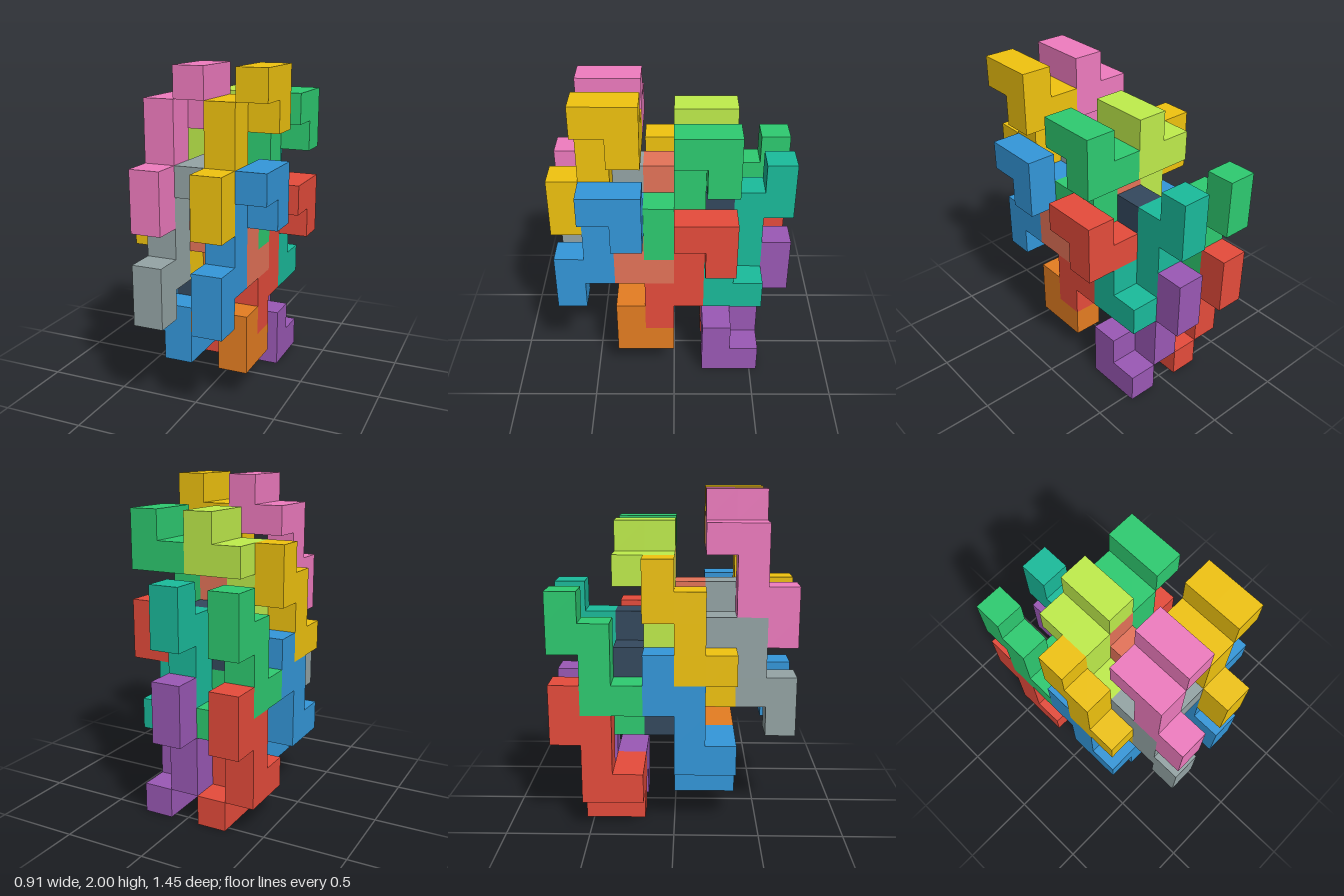
import * as THREE from 'three';
import { mergeGeometries } from 'three/addons/utils/BufferGeometryUtils.js';

const U = 2 / 11; // edge of one cube

// One puzzle piece: a chain of nine cubes, written as steps from cube to cube
const STEPS = [[0, 0, -1], [0, -1, 0], [-1, 0, 0], [0, 0, 1], [0, -1, 0], [0, -1, 0], [0, 0, 1], [0, -1, 0]];

// Outer skin of the chain: a square on every cube side without a neighbour
function pieceGeometry() {
  const cells = [[0, 0, 0]];
  for (const s of STEPS) cells.push(cells[cells.length - 1].map((v, a) => v + s[a]));
  const filled = new Set(cells.map(c => c.join()));
  const sides = [[1, 0, 0], [-1, 0, 0], [0, 1, 0], [0, -1, 0], [0, 0, 1], [0, 0, -1]];
  const front = new THREE.Vector3(0, 0, 1);
  const squares = [];
  for (const cell of cells) {
    for (const side of sides) {
      if (filled.has(cell.map((v, a) => v + side[a]).join())) continue;
      const turn = new THREE.Quaternion().setFromUnitVectors(front, new THREE.Vector3(...side));
      const centre = cell.map((v, a) => (v + side[a] / 2) * U);
      squares.push(new THREE.PlaneGeometry(U, U).applyQuaternion(turn).translate(...centre));
    }
  }
  return mergeGeometries(squares);
}

export function createModel() {
  const group = new THREE.Group();
  group.name = 'interlockingPuzzle';
  const geometry = pieceGeometry();

  // Each layer holds four pieces; start = grid cell of the first cube.
  // Flipped layers are turned half round the x axis.
  const layers = [
    { start: [4, 6, 3], flipped: false, pieces: { red: 0xe74c3c, blue: 0x3498db, green: 0x2ecc71, yellow: 0xf1c40f } },
    { start: [3, 0, 1], flipped: true, pieces: { purple: 0x9b59b6, orange: 0xe67e22, teal: 0x1abc9c, coral: 0xe67459 } },
    { start: [2, 6, 3], flipped: false, pieces: { slate: 0x34495e, grey: 0x95a5a6, lime: 0xc0ee4c, pink: 0xf07cc0 } },
    { start: [1, 0, 1], flipped: true, pieces: { leftRed: 0xe74c3c, leftBlue: 0x3498db, leftGreen: 0x2ecc71, leftYellow: 0xf1c40f } },
  ];
  // Shift of each piece inside its layer, in cubes along y and z
  const shifts = [[0, 0], [1, 3], [3, 0], [4, 3]];

  for (const { start: [i, j, k], flipped, pieces } of layers) {
    Object.entries(pieces).forEach(([name, color], n) => {
      const [dy, dz] = shifts[n];
      const mesh = new THREE.Mesh(geometry, new THREE.MeshStandardMaterial({ color }));
      mesh.name = name.replace('left', 'second') + 'Piece';
      mesh.position.set((i - 2) * U, (j + dy + 0.5) * U, (k + dz - 3.5) * U);
      if (flipped) mesh.rotation.x = Math.PI;
      group.add(mesh);
    });
  }
  return group;
}
